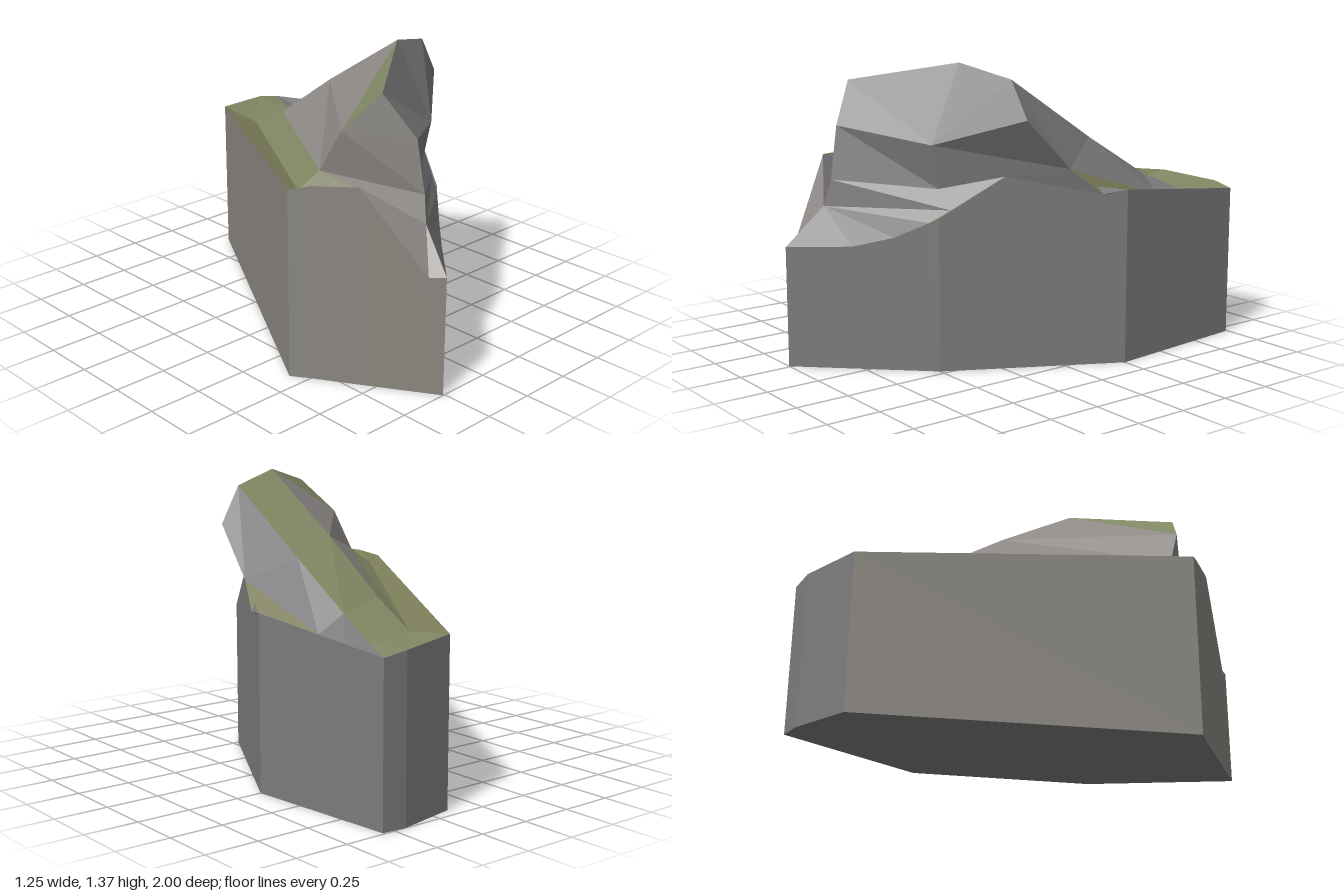
import * as THREE from 'three';

const material = (color) => new THREE.MeshStandardMaterial({ color, flatShading: true, side: THREE.DoubleSide });
const rock = material(0x7c7c7e);
const warmRock = material(0x8a8780);
const paleRock = material(0x908b88);
const grass = material(0x808864);
const dryGrass = material(0x7b7c58);

// Joins pairs of equally long lines of points; repeated points make triangles
function facets(name, mat, ...bands) {
  const pos = [];
  const tri = (a, b, c) => {
    if (a !== b && b !== c && a !== c) pos.push(...a, ...b, ...c);
  };
  for (const [upper, lower] of bands) {
    for (let i = 0; i < upper.length - 1; i++) {
      tri(upper[i], lower[i], lower[i + 1]);
      tri(upper[i], lower[i + 1], upper[i + 1]);
    }
  }
  const geo = new THREE.BufferGeometry();
  geo.setAttribute('position', new THREE.Float32BufferAttribute(pos, 3));
  geo.computeVertexNormals();
  const mesh = new THREE.Mesh(geo, mat);
  mesh.name = name;
  return mesh;
}

export function createModel() {
  const group = new THREE.Group();
  group.name = 'rockOutcrop';

  // Upper rim of the vertical walls
  const corner = [-0.625, 0.88, 0.42], lip = [-0.57, 0.905, 0.5], spike = [-0.46, 0.92, 0.68];
  const notch = [-0.30, 0.545, 0.935], nose = [-0.26, 0.555, 1.0];
  const r1 = [-0.05, 0.565, 0.78], r2 = [0.08, 0.61, 0.645], r3 = [0.19, 0.68, 0.53], r4 = [0.22, 0.70, 0.50];
  const side = [0.625, 0.805, -0.25];
  const end1 = [0.555, 0.72, -0.99], end2 = [0.44, 0.74, -1.0], end3 = [0.15, 0.76, -0.94];

  // Crest and brow of the boulder
  const c1 = [-0.29, 1.28, 0.64], c2 = [0.13, 1.37, 0.32], c3 = [0.39, 1.31, 0.23], c4 = [0.49, 1.14, 0.22];
  const b0 = [-0.42, 1.12, 0.53], b1 = [-0.20, 1.09, 0.76], b2 = [0.17, 1.02, 0.50];
  // Overhang and foot at the front
  const f0 = [-0.46, 0.93, 0.44], f1 = [-0.19, 0.85, 0.80], f2 = [0.16, 0.82, 0.46], f3 = [0.52, 0.91, 0.0];
  const g1 = [-0.21, 0.73, 0.83], g2 = [0.24, 0.735, 0.45], peak = [0.36, 0.88, 0.24];
  // Spine running down the back
  const s1 = [0.13, 1.09, -0.12], s2 = [0.13, 0.85, -0.46], s3 = [0.15, 0.735, -0.69];
  const t1 = [0.39, 1.02, -0.22], t2 = [0.40, 0.82, -0.55], t3 = [0.43, 0.73, -0.74];
  // Gully between the boulder and the rim
  const gullyL = [-0.55, 0.855, 0.40];
  const d1 = [0.55, 0.70, -0.74], d2 = [0.52, 0.74, -0.53], d3 = [0.585, 0.79, -0.14];

  // Walls and underside
  const onGround = (line) => line.map(([x, , z]) => [x, 0, z]);
  const leftRim = [end3, corner, lip, spike, notch, nose];
  const rightRim = [nose, r1, r2, r3, r4, side, end1, end2, end3];
  group.add(facets('leftWalls', warmRock, [leftRim, onGround(leftRim)]));
  group.add(facets('rightWalls', rock, [rightRim, onGround(rightRim)]));
  const base = onGround([...leftRim, ...rightRim]);
  const middle = [0.05, 0, -0.1];
  group.add(facets('underside', rock, [base, base.map(() => middle)]));

  // Boulder
  group.add(facets('boulderFront', rock,
    [[c1, c2, c3, c4], [b1, b2, b2, c4]],
    [[b1, b2, c4], [f1, f2, f3]],
    [[f1, f2, f2, f3], [g1, g2, peak, f3]]));
  group.add(facets('boulderLeft', warmRock,
    [[b0, c1], [b0, b1]],
    [[b0, b1], [f0, f1]],
    [[f0, f1], [f0, g1]]));
  group.add(facets('boulderRight', rock,
    [[c3, t1, t2, t3], [c4, f3, d2, d1]],
    [[t3, t3], [d1, end1]]));
  group.add(facets('boulderBack', paleRock, [[c2, b0, f0, s2], [s1, s1, s1, s1]]));

  // Sloping apron, notch and side ledge
  group.add(facets('apron', rock, [[g1, g1, g1, g2], [nose, r1, r2, r3]]));
  group.add(facets('notchSlope', paleRock, [[g1, g1, g1], [spike, notch, nose]]));
  group.add(facets('leftGully', rock, [[gullyL, gullyL], [spike, g1]]));
  group.add(facets('sideLedge', rock,
    [[g2, peak], [r4, r4]],
    [[peak, d3], [r4, side]],
    [[peak, f3], [d3, d3]]));
  group.add(facets('rightGully', rock, [[d1, d1], [end1, side]], [[d2, d3], [side, side]]));

  // Green covering on the top
  group.add(facets('grassTop', grass,
    [[c1, c2], [b0, b0]],
    [[c2, s1, s2, s3], [c3, t1, t2, t3]],
    [[f0, s2], [gullyL, s3]]));
  group.add(facets('grassRim', dryGrass,
    [[spike, lip, corner], [gullyL, gullyL, gullyL]],
    [[gullyL, s3], [corner, end3]],
    [[f0, f0], [gullyL, g1]],
    [[g2, g2], [r3, r4]]));
  group.add(facets('grassEnd', grass, [[s3, t3, t3], [end3, end2, end1]]));
  group.add(facets('grassGully', dryGrass, [[d1, d2], [side, side]], [[f3, f3], [d2, d3]]));
  return group;
}
